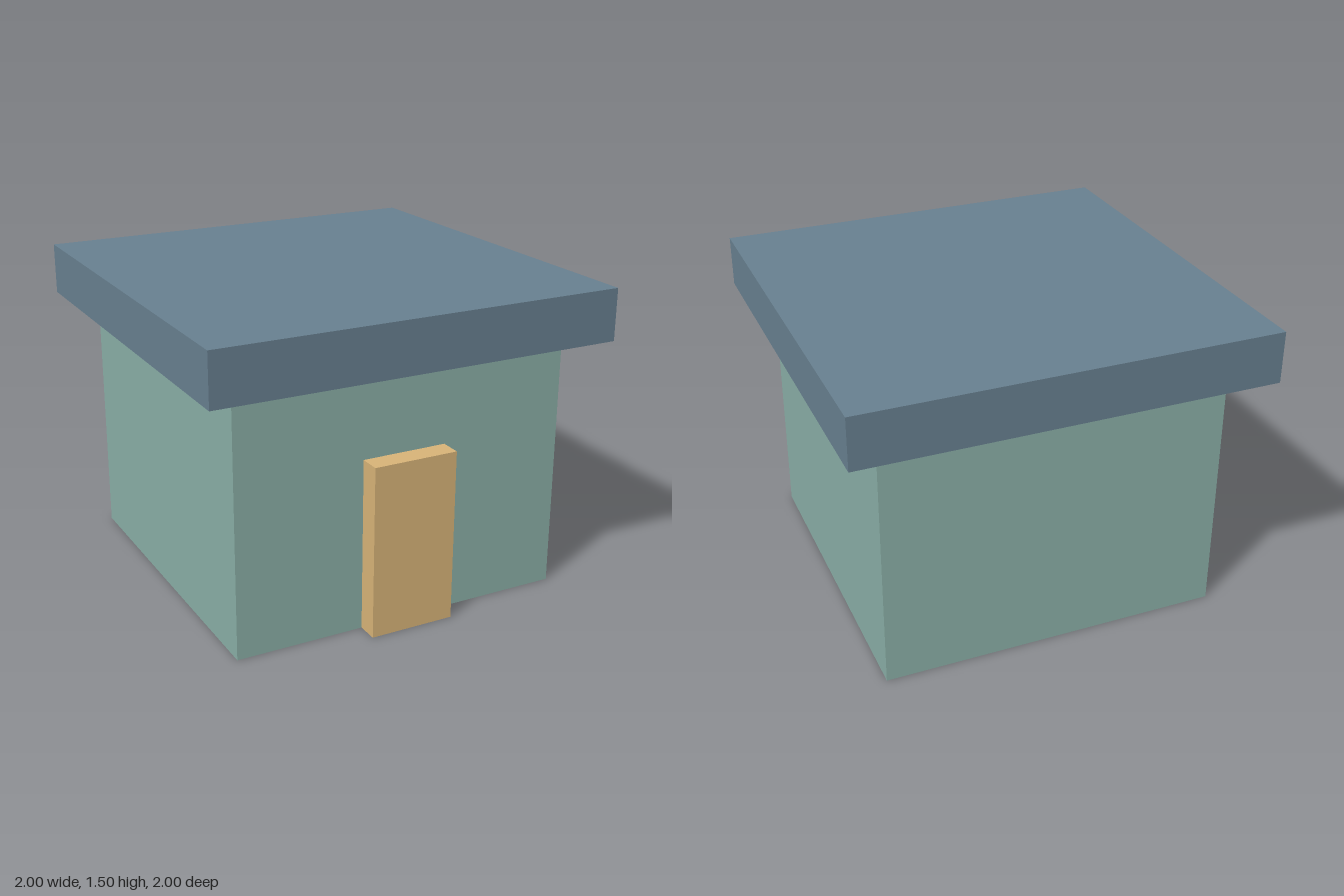
import * as THREE from 'three';

// Adds a named box standing on height y, centred at x = 0 and at depth z.
function addBox(group, name, color, [w, h, d], y, z = 0) {
  const mesh = new THREE.Mesh(
    new THREE.BoxGeometry(w, h, d),
    new THREE.MeshStandardMaterial({ color })
  );
  mesh.name = name;
  mesh.position.set(0, y + h / 2, z);
  group.add(mesh);
}

export function createModel() {
  const house = new THREE.Group();
  house.name = 'house';

  const wallSize = 1.667, wallHeight = 1.25;
  const doorDepth = 0.104;

  addBox(house, 'walls', 0x8aafa7, [wallSize, wallHeight, wallSize], 0);
  // Flat slab overhanging the walls on all sides
  addBox(house, 'roof', 0x688090, [2, 0.25, 2], wallHeight);
  // Door block standing proud of the front wall
  addBox(house, 'door', 0xd8b478, [0.417, 0.833, doorDepth], 0, wallSize / 2 + doorDepth / 2);

  return house;
}
